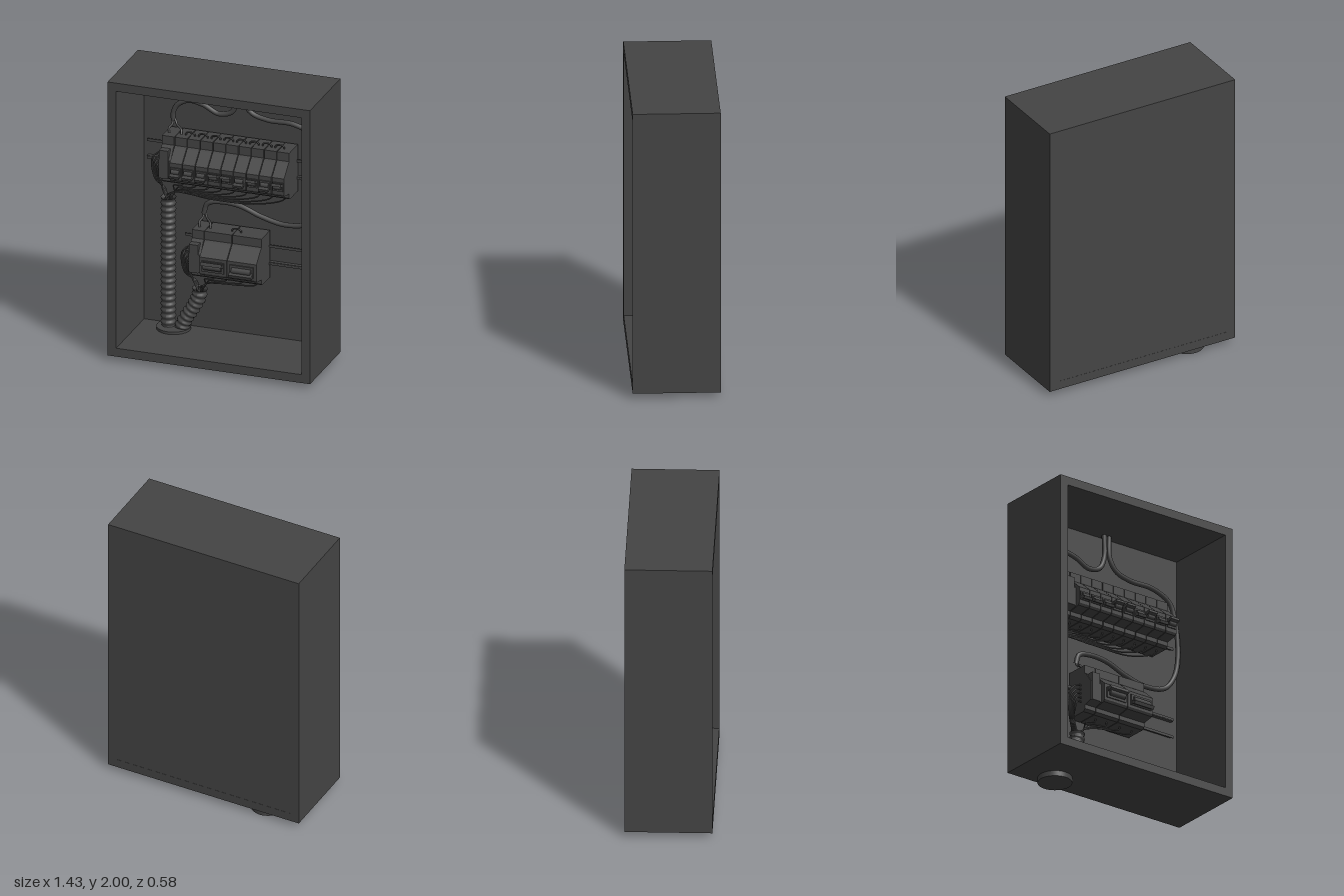
import * as THREE from 'three';

const material = new THREE.MeshStandardMaterial({ color: 0x444444 });
const V = (x, y, z) => new THREE.Vector3(x, y, z);
const CABLE_Z = -0.2, PIPE_Z = -0.165;

function add(parent, name, geometry, x = 0, y = 0, z = 0) {
  const mesh = new THREE.Mesh(geometry, material);
  mesh.name = name;
  mesh.position.set(x, y, z);
  parent.add(mesh);
  return mesh;
}
const box = (parent, name, w, h, d, x, y, z) =>
  add(parent, name, new THREE.BoxGeometry(w, h, d), x, y, z);

function tube(parent, name, points, radius, segments = 24, sides = 8) {
  const path = new THREE.CatmullRomCurve3(points);
  return add(parent, name, new THREE.TubeGeometry(path, segments, radius, sides));
}

// Extrudes a (z, y) outline along x, centred on x = 0
function extrudeAlongX(outline, width) {
  const shape = new THREE.Shape(outline.map(([z, y]) => new THREE.Vector2(z, y)));
  const geometry = new THREE.ExtrudeGeometry(shape, { depth: width, bevelEnabled: false });
  return geometry.translate(0, 0, -width / 2).rotateY(-Math.PI / 2);
}

// Ribbed hose: a tube whose rings swell and shrink along its path
function corrugatedHose(parent, name, points, radius, ribs) {
  const path = new THREE.CatmullRomCurve3(points);
  const rings = ribs * 6, sides = 20;
  const geometry = new THREE.TubeGeometry(path, rings, radius, sides);
  const pos = geometry.attributes.position, v = V(0, 0, 0);
  for (let i = 0; i <= rings; i++) {
    const centre = path.getPointAt(i / rings);
    const swell = 0.94 + 0.09 * Math.cos((i / 6) * Math.PI * 2);
    for (let j = 0; j <= sides; j++) {
      const k = i * (sides + 1) + j;
      v.fromBufferAttribute(pos, k).sub(centre).multiplyScalar(swell).add(centre);
      pos.setXYZ(k, v.x, v.y, v.z);
    }
  }
  geometry.computeVertexNormals();
  const mesh = add(parent, name, geometry);
  mesh.material = material.clone();
  mesh.material.side = THREE.DoubleSide;
}

// Breaker side outline: stepped body with a projecting nose
const moduleOutline = [
  [-0.225, 0], [-0.075, 0], [-0.055, 0.015], [-0.055, 0.045], [0.03, 0.06],
  [0.04, 0.075], [0.04, 0.19], [-0.045, 0.265], [-0.06, 0.275], [-0.06, 0.335], [-0.225, 0.335],
];

function breaker(parent, x, y, width, leverUp, leverSize) {
  const unit = new THREE.Group();
  unit.name = 'breaker';
  unit.position.set(x, y, 0);
  parent.add(unit);
  add(unit, 'body', extrudeAlongX(moduleOutline, width - 0.005));
  const w = width * 0.8, h = leverSize;
  box(unit, 'switchFrame', w, h, 0.012, 0, 0.13, 0.043);
  const lever = box(unit, 'lever', w * 0.95, h * 0.32, 0.05, 0, 0.13 + (leverUp ? 0.3 : -0.3) * h, 0.06);
  lever.rotation.x = leverUp ? -0.35 : 0.35;
  const hub = add(unit, 'leverHub', new THREE.CylinderGeometry(h * 0.3, h * 0.3, w * 0.8, 14), 0, 0.13, 0.047);
  hub.rotation.z = Math.PI / 2;
}

// Terminal unit at the left of each row, with a raised cover
function terminalUnit(parent, x, y, width) {
  const unit = new THREE.Group();
  unit.name = 'terminalUnit';
  unit.position.set(x, y, 0);
  parent.add(unit);
  add(unit, 'body', extrudeAlongX(moduleOutline.map(([z, h]) => [Math.min(z, 0.01), h]), width - 0.005));
  box(unit, 'cover', width * 0.7, 0.2, 0.05, -0.005, 0.16, -0.008);
}

function rail(parent, x0, x1, y) {
  const w = x1 - x0, x = (x0 + x1) / 2;
  box(parent, 'railWeb', w, 0.11, 0.008, x, y, -0.242);
  for (const s of [-1, 1]) {
    box(parent, 'railSide', w, 0.006, 0.035, x, y + s * 0.055, -0.228);
    box(parent, 'railLip', w, 0.016, 0.006, x, y + s * 0.064, -0.211);
  }
}

// Bridge wire over the joint between two neighbouring breakers
function jumper(parent, x, y) {
  tube(parent, 'jumperWire', [V(x - 0.032, y - 0.01, -0.12), V(x - 0.028, y + 0.016, -0.12),
    V(x, y + 0.023, -0.12), V(x + 0.028, y + 0.016, -0.12), V(x + 0.032, y - 0.01, -0.12)], 0.006, 16, 6);
}

// Thin wires from the row's underside and left side, gathered into a hose
function wireBundle(parent, starts, left, y, hx, hy, sag) {
  starts.forEach((x, i) => {
    const a = i * 2.4, ex = hx + Math.cos(a) * 0.022, ez = PIPE_Z + Math.sin(a) * 0.022;
    const d = x - hx, low = y - 0.035 - sag * (i + 1) / starts.length;
    tube(parent, 'outputWire', [V(x, y + 0.01, -0.12), V(x - 0.01, y - 0.025, -0.12),
      V(hx + d * 0.75, low + 0.01, -0.12 - 0.002 * i), V(hx + d * 0.38, low, -0.13),
      V(hx + 0.045, hy + 0.05, PIPE_Z + 0.01), V(ex, hy + 0.005, ez), V(ex, hy - 0.04, ez)], 0.005, 30, 6);
  });
  for (let i = 0; i < 5; i++) {
    const sy = y + 0.2 - i * 0.03, bulge = 0.085 - i * 0.011, ez = PIPE_Z - 0.02 + i * 0.01;
    tube(parent, 'sideWire', [V(left + 0.02, sy, -0.1), V(left - 0.03, sy - 0.004, -0.1),
      V(left - bulge, sy - 0.06, -0.11), V(left - bulge * 0.85, y - 0.01, -0.13),
      V(hx - 0.03, hy + 0.05, ez), V(hx - 0.02 + i * 0.008, hy - 0.03, ez)], 0.006, 28, 6);
  }
}

// Thick supply cable that splits into two thin leads
function supplyCable(parent, points, leads) {
  const path = points.map(([x, y]) => V(x, y, CABLE_Z));
  tube(parent, 'supplyCable', path, 0.017, 90, 12);
  const end = path[path.length - 1];
  for (const [x, y] of leads) {
    tube(parent, 'supplyLead', [V(end.x + (x - end.x) * 0.15, end.y + 0.01, CABLE_Z),
      V(end.x + (x - end.x) * 0.4, end.y - 0.02, -0.18),
      V(x - 0.008, end.y - 0.035, -0.14), V(x, y - 0.01, -0.12)], 0.008, 16, 8);
  }
}

export function createModel() {
  const model = new THREE.Group();
  model.name = 'breakerCabinet';

  // Cabinet: rectangular frame walls and a back panel
  const frame = new THREE.Shape([[-0.713, 0.037], [0.713, 0.037], [0.713, 2], [-0.713, 2]]
    .map(([x, y]) => new THREE.Vector2(x, y)));
  frame.holes.push(new THREE.Path([[-0.653, 0.097], [-0.653, 1.94], [0.653, 1.94], [0.653, 0.097]]
    .map(([x, y]) => new THREE.Vector2(x, y))));
  add(model, 'cabinetWalls', new THREE.ExtrudeGeometry(frame, { depth: 0.583, bevelEnabled: false }), 0, 0, -0.292);
  box(model, 'backPanel', 1.32, 1.86, 0.046, 0, 1.0185, -0.268);

  // Cable gland through the floor
  add(model, 'floorGland', new THREE.CylinderGeometry(0.115, 0.115, 0.115, 40), -0.415, 0.0575, PIPE_Z);

  // Upper row
  const upper = new THREE.Group();
  upper.name = 'upperRow';
  model.add(upper);
  rail(upper, -0.62, 0.6, 1.34);
  terminalUnit(upper, -0.415, 1.18, 0.09);
  const isUp = [0, 0, 0, 1, 1, 0, 1, 0, 1], starts = [];
  isUp.forEach((up, i) => {
    const x = -0.325 + i * 0.09;
    breaker(upper, x, 1.18, 0.09, up, 0.06);
    starts.push(x);
    if (i < 8) jumper(upper, x + 0.045, 1.515);
  });
  jumper(upper, 0.35, 1.515);
  wireBundle(upper, starts, -0.46, 1.18, -0.45, 1.03, 0.07);

  // Lower row
  const lower = new THREE.Group();
  lower.name = 'lowerRow';
  model.add(lower);
  rail(lower, -0.35, 0.6, 0.7);
  terminalUnit(lower, -0.205, 0.535, 0.09);
  breaker(lower, -0.0625, 0.535, 0.195, true, 0.075);
  breaker(lower, 0.14, 0.535, 0.21, false, 0.075);
  jumper(lower, 0.045, 0.87);
  wireBundle(lower, [-0.11, -0.02, 0.09, 0.19], -0.25, 0.535, -0.23, 0.4, 0.02);

  // Corrugated hoses rising from the gland
  corrugatedHose(model, 'tallHose', [V(-0.452, 0.1, PIPE_Z), V(-0.452, 0.55, PIPE_Z), V(-0.452, 1.035, PIPE_Z)], 0.051, 22);
  corrugatedHose(model, 'shortHose', [V(-0.365, 0.09, PIPE_Z), V(-0.335, 0.17, PIPE_Z),
    V(-0.265, 0.29, PIPE_Z), V(-0.235, 0.36, PIPE_Z), V(-0.23, 0.41, PIPE_Z)], 0.051, 9);

  // Supply cables from the roof
  supplyCable(model, [[0.02, 1.95], [0.02, 1.78], [-0.02, 1.69], [-0.11, 1.665], [-0.22, 1.715],
    [-0.32, 1.73], [-0.4, 1.69], [-0.43, 1.63], [-0.43, 1.575]], [[-0.43, 1.515], [-0.345, 1.515]]);
  supplyCable(model, [[0.06, 1.95], [0.065, 1.79], [0.12, 1.705], [0.24, 1.67], [0.42, 1.665], [0.56, 1.6],
    [0.61, 1.46], [0.63, 1.22], [0.6, 1.07], [0.52, 0.965], [0.36, 0.935], [0.19, 0.97], [0.04, 1.025],
    [-0.1, 1.035], [-0.19, 1.01], [-0.215, 0.935]], [[-0.215, 0.87], [-0.14, 0.87]]);
  return model;
}
